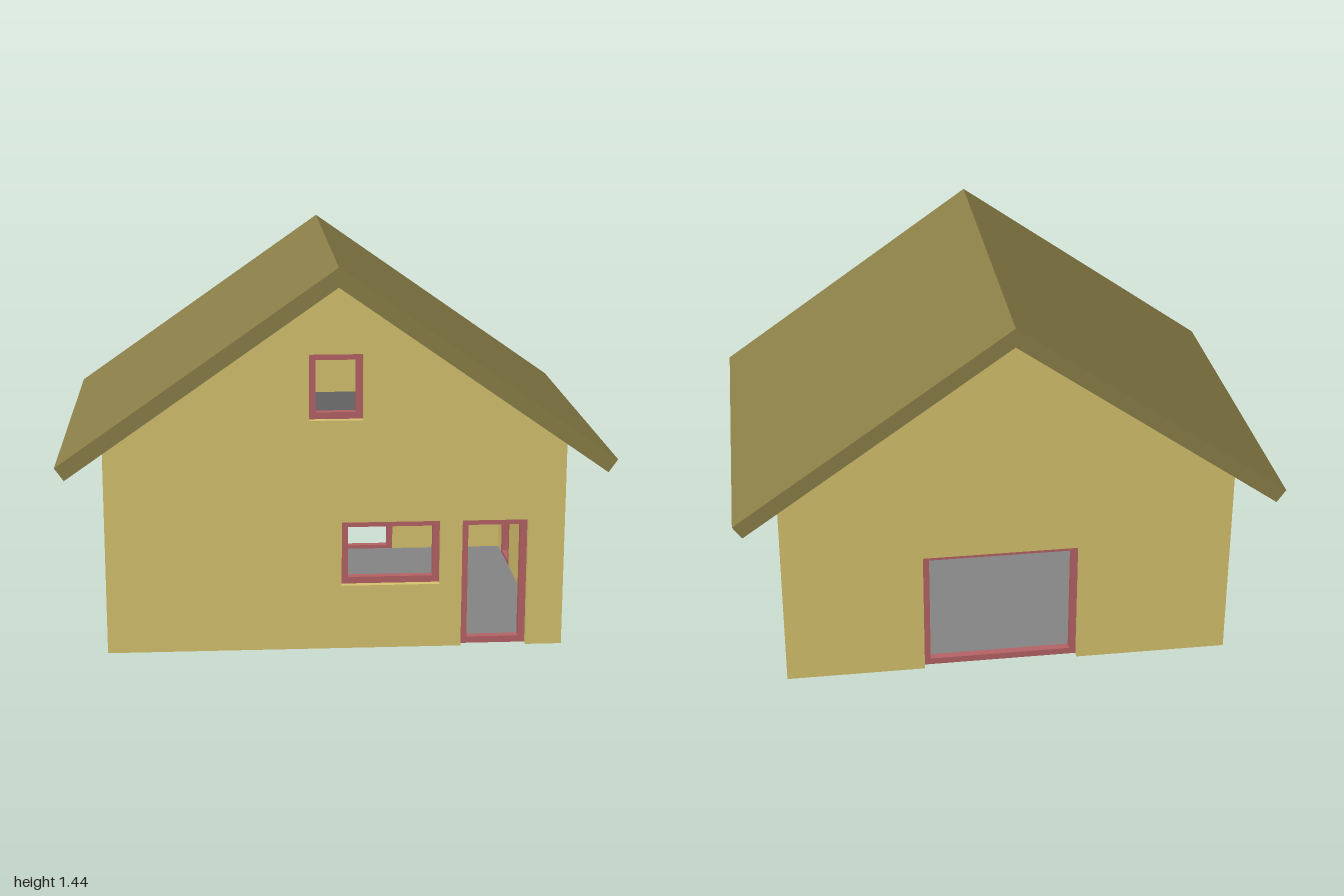
import * as THREE from 'three';

const T = 0.055;      // wall thickness
const BAR = 0.025;    // frame bar width
const DEPTH = 0.03;   // frame depth

const mat = (color) => new THREE.MeshStandardMaterial({ color, flatShading: true });
const wallMat = mat(0xd9c570);
const roofMat = mat(0x8c8048);
const frameMat = mat(0xb86467);
const floorMat = mat(0x868686);
const ceilingMat = mat(0x636363);

function add(parent, name, geometry, material) {
  const mesh = new THREE.Mesh(geometry, material);
  mesh.name = name;
  parent.add(mesh);
  return mesh;
}

const shapeOf = (pts) => new THREE.Shape(pts.map(([x, y]) => new THREE.Vector2(x, y)));
const rect = ([x0, y0, x1, y1]) => [[x0, y0], [x1, y0], [x1, y1], [x0, y1]];
const extrude = (shape, depth) => new THREE.ExtrudeGeometry(shape, { depth, bevelEnabled: false });

// One wall with its outer face on local z = 0.
// Openings are [x0, y0, x1, y1]; those starting at y = 0 cut into the bottom edge.
function makeWall(name, half, top, openings) {
  const group = new THREE.Group();
  group.name = name;
  const notches = openings.filter((o) => o[1] === 0)
    .flatMap(([x0, , x1, y1]) => [[x0, 0], [x0, y1], [x1, y1], [x1, 0]]);
  const shape = shapeOf([[-half, 0], ...notches, [half, 0], ...top]);
  for (const o of openings) if (o[1] > 0) shape.holes.push(shapeOf(rect(o)));
  add(group, name + 'Panel', extrude(shape, T), wallMat).position.z = -T;

  // Recessed frame around each opening
  for (const o of openings) {
    const [x0, y0, x1, y1] = o;
    const frame = shapeOf(rect(o));
    frame.holes.push(shapeOf(rect([x0 + BAR, y0 + BAR, x1 - BAR, y1 - BAR])));
    add(group, y0 === 0 ? 'doorFrame' : 'windowFrame', extrude(frame, DEPTH), frameMat).position.z = -T;
  }
  return group;
}

export function createModel() {
  const house = new THREE.Group();
  house.name = 'house';
  const W = 0.84, D = 0.6, EAVE = 0.782, APEX = 1.37;
  const gable = [[W, EAVE], [0, APEX], [-W, EAVE]];
  const sideHalf = D - T;
  const sideTop = [[sideHalf, EAVE], [-sideHalf, EAVE]];

  // Gable walls
  const front = makeWall('frontWall', W, gable, [
    [-0.098, 0.868, 0.097, 1.11],
    [0.02, 0.243, 0.382, 0.485],
    [0.463, 0, 0.706, 0.485],
  ]);
  front.position.z = D;
  const back = makeWall('backWall', W, gable, [[-0.32, 0, 0.264, 0.485]]);
  back.position.z = -D;
  back.rotation.y = Math.PI;

  // Side walls
  const left = makeWall('leftWall', sideHalf, sideTop, [[0.275, 0, 0.468, 0.485]]);
  left.position.x = W;
  left.rotation.y = Math.PI / 2;
  const right = makeWall('rightWall', sideHalf, sideTop, [[-0.541, 0, -0.35, 0.485]]);
  right.position.x = -W;
  right.rotation.y = -Math.PI / 2;
  house.add(front, back, left, right);

  // Ground floor and attic floor
  const iw = 2 * (W - T), id = 2 * (D - T);
  add(house, 'groundFloor', new THREE.BoxGeometry(iw, 0.01, id), floorMat).position.y = 0.005;
  add(house, 'atticFloor', new THREE.BoxGeometry(iw, 0.05, id), ceilingMat).position.y = 0.685;

  // Pitched roof with square-cut eaves
  const roof = shapeOf([
    [0, 1.44], [-1, 0.74], [-0.967, 0.693], [0, APEX], [0.967, 0.693], [1, 0.74],
  ]);
  add(house, 'roof', extrude(roof, 1.44), roofMat).position.z = -0.72;

  return house;
}
